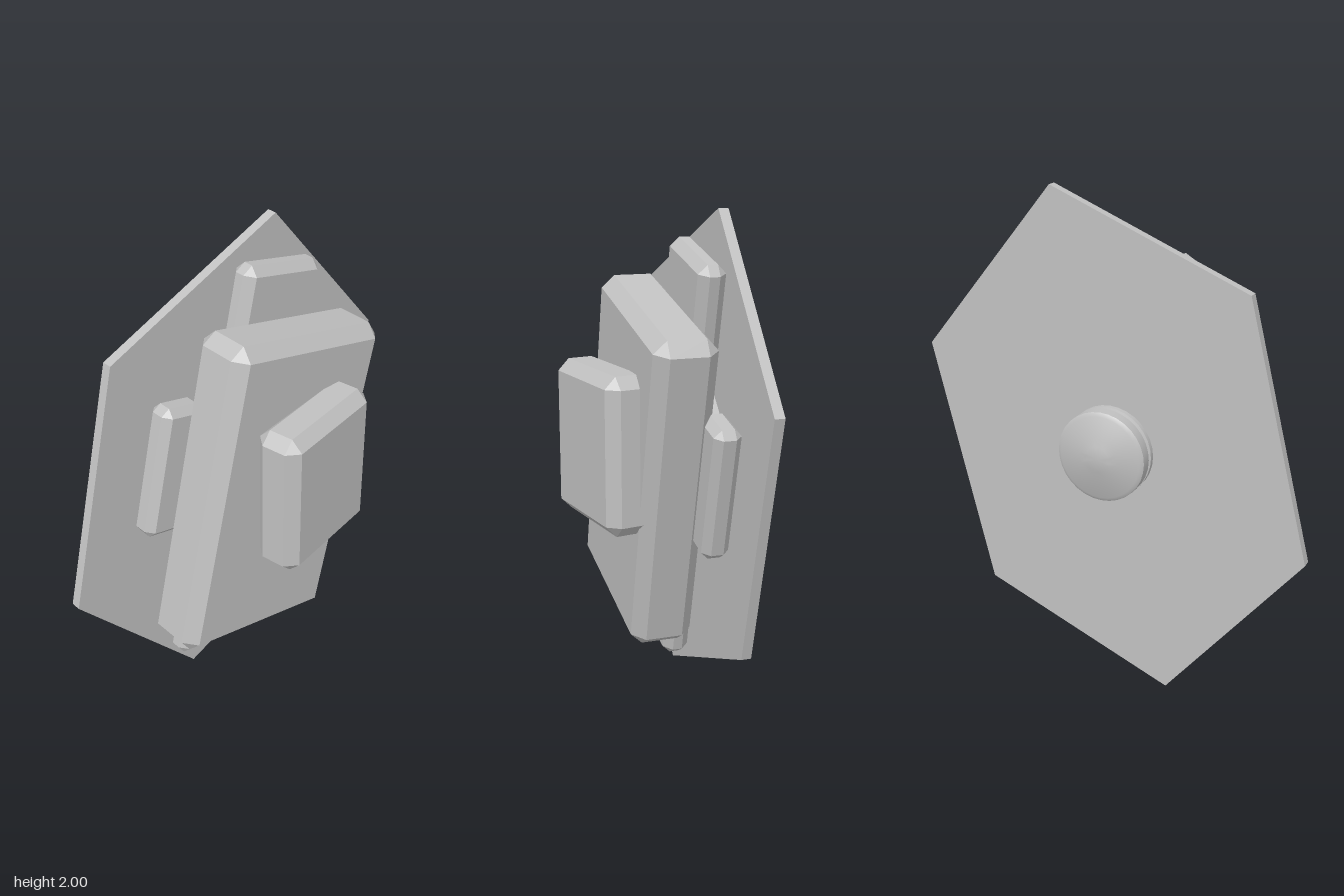
import * as THREE from 'three';
import { ConvexGeometry } from 'three/addons/geometries/ConvexGeometry.js';
import { toCreasedNormals } from 'three/addons/utils/BufferGeometryUtils.js';

// Box with every edge cut by a single chamfer
function chamferBox(w, h, d, c) {
  const pts = [];
  for (const sx of [-1, 1]) for (const sy of [-1, 1]) for (const sz of [-1, 1]) {
    const x = w / 2, y = h / 2, z = d / 2;
    pts.push(
      new THREE.Vector3(sx * x, sy * (y - c), sz * (z - c)),
      new THREE.Vector3(sx * (x - c), sy * y, sz * (z - c)),
      new THREE.Vector3(sx * (x - c), sy * (y - c), sz * z));
  }
  return new ConvexGeometry(pts);
}

export function createModel() {
  const model = new THREE.Group();
  const grey = new THREE.MeshStandardMaterial({ color: 0xc0c0c0 });
  grey.name = 'plain grey';

  const add = (parent, name, geometry, x = 0, y = 0, z = 0) => {
    const mesh = new THREE.Mesh(geometry, grey);
    mesh.name = name;
    mesh.position.set(x, y, z);
    parent.add(mesh);
    return mesh;
  };

  // Local +x is the plate's outward normal
  const assembly = new THREE.Group();
  assembly.name = 'tiltedAssembly';
  assembly.position.set(-0.185, 1, 0);
  assembly.rotation.y = -0.17;
  model.add(assembly);

  // Hexagonal backing plate, symmetric through its centre
  const half = [[0.244, 1], [-0.548, 0.67], [-0.797, -0.33]];
  const corners = [...half, ...half.map(([a, b]) => [-a, -b])];
  const hexagon = new THREE.Shape(corners.map(([a, b]) => new THREE.Vector2(a, b)));
  const plate = new THREE.ExtrudeGeometry(hexagon, { depth: 0.04, bevelEnabled: false });
  plate.translate(0, 0, -0.02).rotateY(Math.PI / 2);
  add(assembly, 'hexagonPlate', plate);

  // Stepped round boss on the back of the plate
  const profile = [
    [0.18, 0.01], [0.18, 0.04], [0.165, 0.045], [0.165, 0.055], [0.18, 0.06],
    [0.18, 0.105], [0.165, 0.115], [0.08, 0.125], [0.05, 0.137], [0, 0.137],
  ].map(([r, y]) => new THREE.Vector2(r, y));
  const boss = toCreasedNormals(new THREE.LatheGeometry(profile, 32), 0.5);
  boss.rotateZ(Math.PI / 2);
  add(assembly, 'backBoss', boss);

  // Parts turned within the plane of the plate
  const turned = new THREE.Group();
  turned.name = 'turnedBody';
  turned.rotation.x = -0.237;
  assembly.add(turned);

  const hub = new THREE.CylinderGeometry(0.37, 0.37, 0.11, 40).rotateZ(Math.PI / 2);
  add(turned, 'hubDisc', hub, 0.06);
  add(turned, 'longBar', chamferBox(0.11, 1.74, 0.39, 0.035), 0.083);
  add(turned, 'mainBody', chamferBox(0.25, 1.32, 0.77, 0.05), 0.223);
  for (const side of [-1, 1]) {
    add(turned, side > 0 ? 'frontSideBlock' : 'backSideBlock',
      chamferBox(0.11, 0.55, 0.19, 0.03), 0.083, 0.08, side * 0.4);
  }

  // Upright block on the outer face
  add(model, 'outerBlock', chamferBox(0.19, 0.62, 0.51, 0.045), 0.24, 1.095, 0);

  return model;
}
